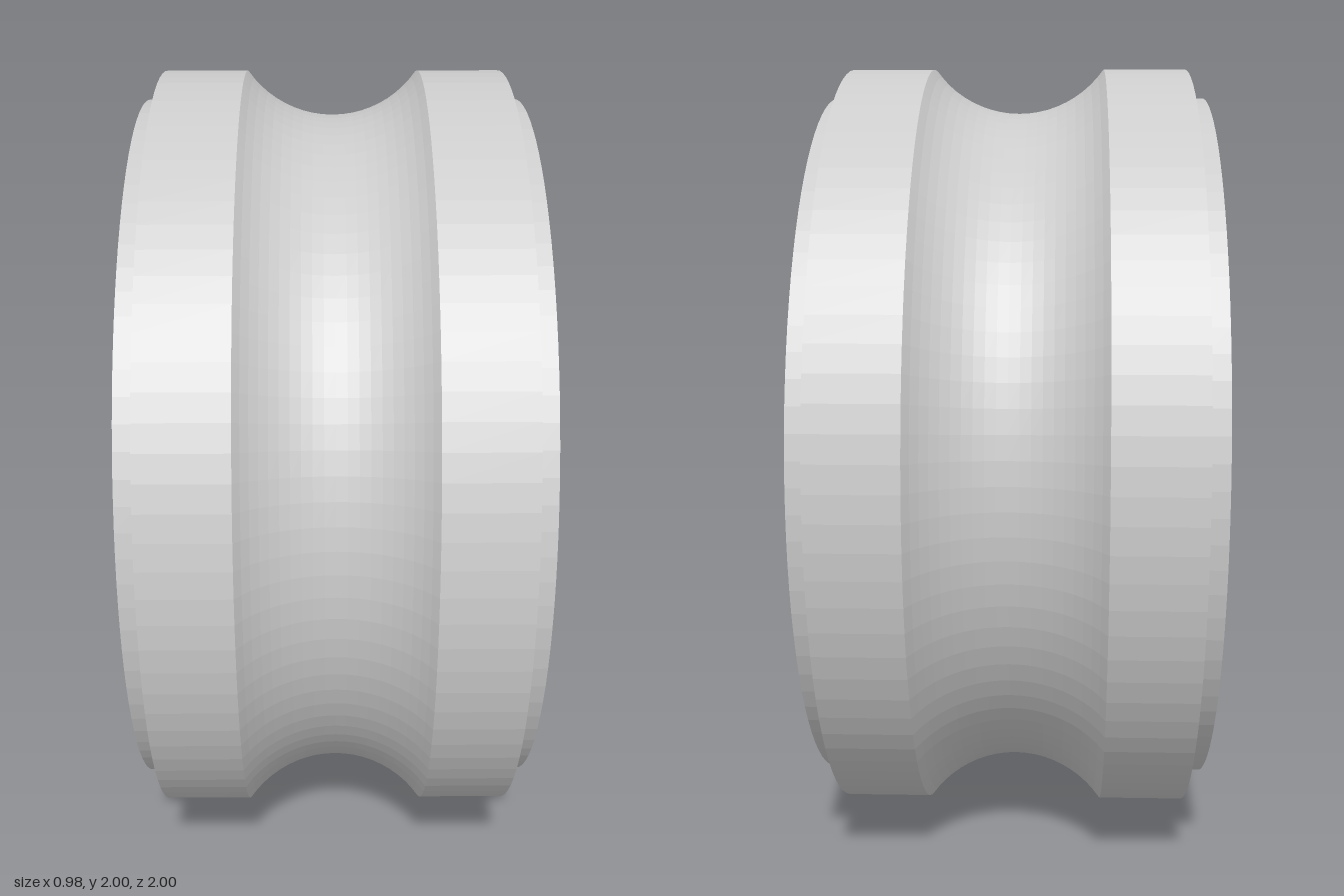
import * as THREE from 'three';

const SEGMENTS = 96;
const OUTER = 1, SHOULDER = 0.925, BORE = 0.7;
const HALF_WIDTH = 0.49, HALF_RIM = 0.44, HALF_GROOVE = 0.225;
const GROOVE_DEPTH = 0.115, FILLET = 0.06;

// Points on a circular arc in (radius, axis) coordinates
function arc(r, a, radius, from, to, steps) {
  return Array.from({ length: steps + 1 }, (_, i) => {
    const t = from + (to - from) * i / steps;
    return new THREE.Vector2(r + radius * Math.cos(t), a + radius * Math.sin(t));
  });
}

export function createModel() {
  const group = new THREE.Group();
  group.name = 'groovedRing';
  const p = (r, a) => new THREE.Vector2(r, a);

  // Concave groove around the outside
  const grooveR = (HALF_GROOVE ** 2 + GROOVE_DEPTH ** 2) / (2 * GROOVE_DEPTH);
  const half = Math.asin(HALF_GROOVE / grooveR);
  const groove = arc(OUTER - GROOVE_DEPTH + grooveR, 0, grooveR, Math.PI + half, Math.PI - half, 20);

  // Rounded mouths of the bore
  const mouthR = BORE + FILLET, mouthA = HALF_WIDTH - FILLET;
  const leftMouth = arc(mouthR, mouthA, FILLET, Math.PI / 2, Math.PI, 8);
  const rightMouth = arc(mouthR, -mouthA, FILLET, Math.PI, Math.PI * 1.5, 8);

  // Closed profile: stepped shoulders, rims, groove and bore
  const profile = [
    p(SHOULDER, -HALF_WIDTH), p(SHOULDER, -HALF_RIM), p(OUTER, -HALF_RIM),
    ...groove,
    p(OUTER, HALF_RIM), p(SHOULDER, HALF_RIM), p(SHOULDER, HALF_WIDTH),
    ...leftMouth, ...rightMouth,
    p(SHOULDER, -HALF_WIDTH),
  ];

  const ring = new THREE.Mesh(
    new THREE.LatheGeometry(profile, SEGMENTS),
    new THREE.MeshStandardMaterial({ color: 0xcccccc, flatShading: true }),
  );
  ring.name = 'ringBody';
  ring.rotation.z = -Math.PI / 2; // axis along x
  ring.position.y = OUTER;
  group.add(ring);
  return group;
}
